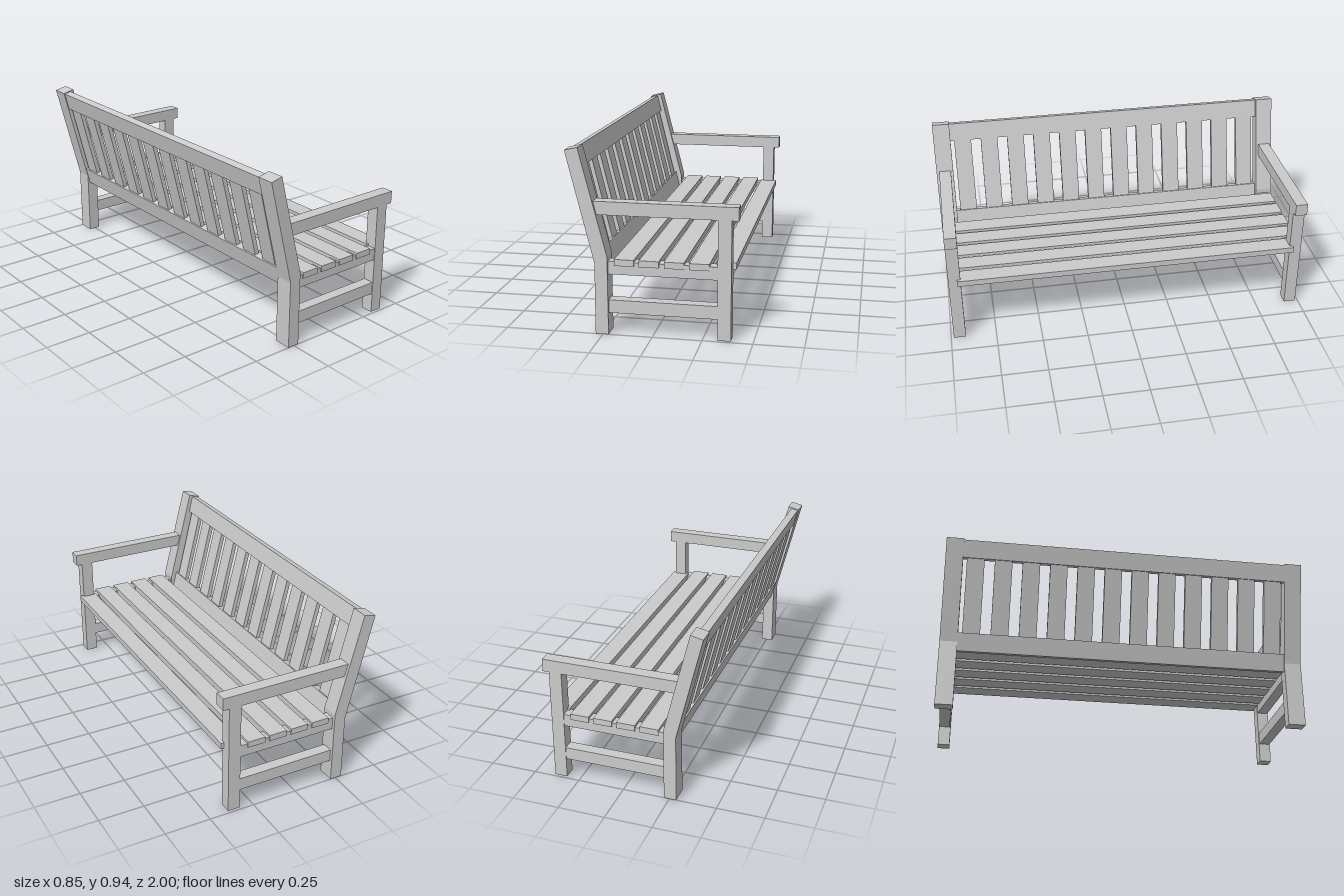
import * as THREE from 'three';

const material = new THREE.MeshStandardMaterial({ color: 0xcccccc, flatShading: true });

// Box given by its min and max on each axis
function bar(parent, name, x0, x1, y0, y1, z0, z1) {
  const mesh = new THREE.Mesh(new THREE.BoxGeometry(x1 - x0, y1 - y0, z1 - z0), material);
  mesh.position.set((x0 + x1) / 2, (y0 + y1) / 2, (z0 + z1) / 2);
  mesh.name = name;
  parent.add(mesh);
}

export function createModel() {
  const bench = new THREE.Group();
  bench.name = 'bench';

  // Bent rear post, upright below the seat and leaning back above it
  const profile = new THREE.Shape([
    [-0.287, 0], [-0.221, 0], [-0.222, 0.4], [-0.36, 0.94], [-0.425, 0.925], [-0.286, 0.365],
  ].map(([x, y]) => new THREE.Vector2(x, y)));
  const postGeometry = new THREE.ExtrudeGeometry(profile, { depth: 0.095, bevelEnabled: false });

  // End frames: posts, armrest, seat support and stretcher
  for (const side of [-1, 1]) {
    const frame = new THREE.Group();
    frame.name = side > 0 ? 'leftEndFrame' : 'rightEndFrame';
    const post = new THREE.Mesh(postGeometry, material);
    post.name = 'backLeg';
    post.position.z = side > 0 ? 0.905 : -1;
    frame.add(post);
    const c = side * 0.952;
    bar(frame, 'frontLeg', 0.323, 0.39, 0, 0.608, c - 0.033, c + 0.033);
    bar(frame, 'armrest', -0.295, 0.424, 0.608, 0.675, c - 0.033, c + 0.033);
    bar(frame, 'seatSupport', -0.23, 0.33, 0.308, 0.374, c - 0.03, c + 0.03);
    bar(frame, 'stretcher', -0.23, 0.33, 0.108, 0.175, c - 0.03, c + 0.03);
    bench.add(frame);
  }

  // Seat slats; the front one ends inside the front legs
  for (let i = 0; i < 5; i++) {
    const x = -0.191 + i * 0.125;
    const half = i === 4 ? 0.937 : 0.988;
    bar(bench, 'seatSlat', x, x + 0.099, 0.354, 0.387, -half, half);
  }

  // Leaning backrest: two rails with upright slats between them
  const back = new THREE.Group();
  back.name = 'backrest';
  back.position.set(-0.257, 0.425, 0);
  back.rotation.z = 0.238;
  bar(back, 'lowerRail', -0.04, 0, -0.1, 0, -0.91, 0.91);
  bar(back, 'topRail', -0.04, 0, 0.42, 0.52, -0.91, 0.91);
  for (let i = 0; i < 12; i++) {
    const z = (i - 5.5) * 0.152;
    bar(back, 'backSlat', -0.032, -0.008, -0.01, 0.43, z - 0.048, z + 0.048);
  }
  bench.add(back);

  return bench;
}
